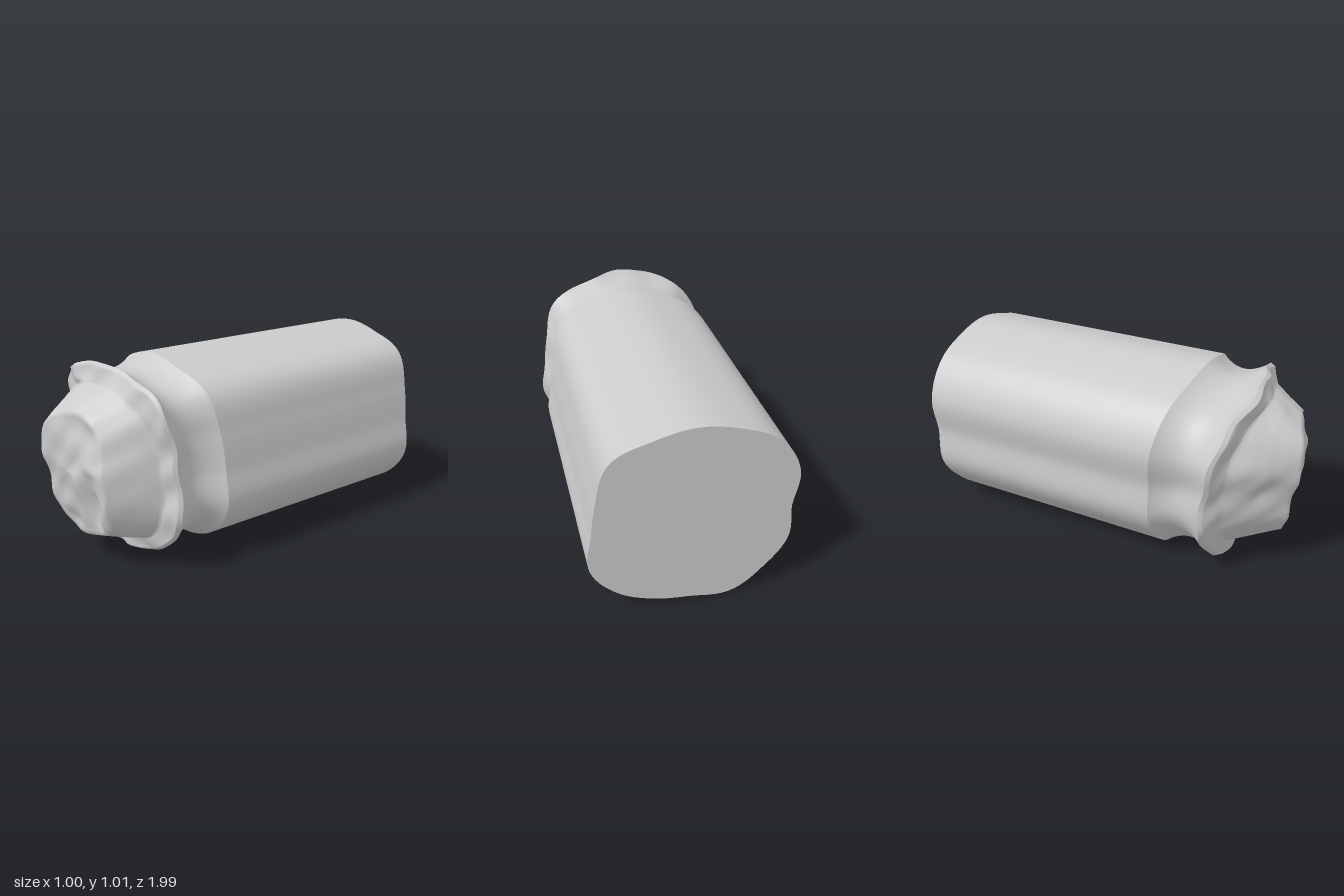
import * as THREE from 'three';

const N = 144; // points round every loop
const CY = 0.5; // height of the long axis

// smooth periodic sampling of 16 values spaced evenly round the axis
function around(values, angle) {
  const n = values.length, f = (angle / (2 * Math.PI)) * n, i = Math.floor(f), t = f - i;
  const [a, b, c, d] = [-1, 0, 1, 2].map(k => values[(i + k + n) % n]);
  return b + 0.5 * t * (c - a + t * (2 * a - 5 * b + 4 * c - d + t * (3 * (b - c) + d - a)));
}

// all lists start at +x and run counterclockwise as seen from the front
const OUTLINE = [.475, .487, .545, .512, .512, .515, .545, .535, .475, .515, .515, .53, .48, .49, .52, .53];
const RIM_Z = [.59, .60, .64, .67, .72, .74, .69, .64, .60, .59, .60, .62, .63, .62, .60, .59];
const BASE_R = [.39, .40, .43, .42, .41, .41, .43, .43, .40, .41, .42, .43, .41, .41, .44, .42];
const BASE_Z = [.64, .65, .69, .74, .76, .76, .73, .69, .68, .67, .66, .66, .66, .66, .65, .64];
const MID_R = [.33, .34, .37, .37, .37, .36, .34, .32, .30, .31, .34, .38, .39, .39, .41, .36];
const MID_Z = [.78, .77, .78, .81, .83, .85, .86, .85, .83, .80, .78, .76, .76, .74, .74, .77];
const TOP_R = [.285, .28, .31, .32, .30, .27, .22, .18, .16, .18, .22, .30, .35, .35, .36, .31];
const TOP_Z = [.90, .89, .88, .90, .93, .97, .99, .985, .97, .96, .95, .92, .88, .85, .86, .89];

const edgeZ = a => 0.32 + 0.1 * Math.max(0, Math.sin(a)) ** 2;

// skin a stack of loops; ring(v, angle) returns [radius, z] for v from 0 to 1
function loft(name, rows, ring, material, shape) {
  const pos = [], index = [];
  for (let i = 0; i <= rows; i++) {
    for (let j = 0; j < N; j++) {
      const a = (j / N) * 2 * Math.PI;
      const [r, z] = ring(i / rows, a);
      const x = r * Math.cos(a), y = CY + r * Math.sin(a);
      pos.push(x, y, shape ? shape(x, y, z, i / rows) : z);
      if (i < rows) {
        const p = i * N + j, q = i * N + (j + 1) % N;
        index.push(p, q, p + N, q, q + N, p + N);
      }
    }
  }
  const g = new THREE.BufferGeometry();
  g.setAttribute('position', new THREE.Float32BufferAttribute(pos, 3));
  g.setIndex(index);
  g.computeVertexNormals();
  const mesh = new THREE.Mesh(g, material);
  mesh.name = name;
  return mesh;
}

// dents and ridges on the broken face: x, y, width, height, depth
const BUMPS = [
  [.17, .36, .05, .11, -.045], [.07, .36, .035, .10, .02], [.20, .55, .06, .04, .02],
  [.22, .30, .03, .06, .025], [-.05, .22, .07, .05, -.02], [-.27, .50, .06, .08, -.03],
  [-.33, .66, .08, .07, .02], [.13, .72, .05, .06, -.02], [-.12, .90, .12, .03, .015],
  [-.25, .30, .08, .06, .015], [.02, .62, .10, .12, .015],
];
function roughen(x, y, z, v) {
  const fade = Math.min(1, v * 5);
  let h = 0.006 * Math.sin(17 * x + 9 * y) * Math.cos(21 * y - 6 * x) + 0.003 * Math.sin(43 * x - 31 * y);
  for (const [bx, by, w, t, d] of BUMPS) {
    h += d * Math.exp(-(((x - bx) / w) ** 2) - ((y - by) / t) ** 2);
  }
  return Math.min(1, z + h * fade);
}

export function createModel() {
  const group = new THREE.Group();
  group.name = 'brokenColumn';
  const mat = new THREE.MeshStandardMaterial({ color: 0xcccccc, side: THREE.DoubleSide });
  const lerp = THREE.MathUtils.lerp;

  // flat rear end
  group.add(loft('rearCap', 1, (v, a) => [v * around(OUTLINE, a), -1], mat));

  // straight shaft with a slanting front edge
  group.add(loft('shaft', 4, (v, a) => [around(OUTLINE, a), lerp(-1, edgeZ(a), v)], mat));

  // hollow neck flaring out to the wavy rim
  const rimZ = a => around(RIM_Z, a) + 0.006 * Math.sin(13 * a);
  group.add(loft('neck', 14, (v, a) => [
    around(OUTLINE, a) - 0.06 * Math.sin(Math.PI * v) ** 0.85,
    lerp(edgeZ(a), rimZ(a), v),
  ], mat));

  // broken face: rim, lip, foot of the wall, wall, plateau edge, middle
  const stations = [
    a => [around(OUTLINE, a), rimZ(a)],
    a => [around(OUTLINE, a) * 0.975, rimZ(a) + 0.022],
    a => [around(BASE_R, a), around(BASE_Z, a)],
    a => [around(MID_R, a), around(MID_Z, a)],
    a => [around(TOP_R, a), around(TOP_Z, a)],
    a => [around(TOP_R, a) * 0.5, lerp(around(TOP_Z, a), 0.935, 0.5)],
    () => [0.001, 0.935],
  ];
  group.add(loft('brokenFace', 48, (v, a) => {
    const f = v * (stations.length - 1), i = Math.min(stations.length - 2, Math.floor(f));
    const p = stations[i](a), q = stations[i + 1](a);
    return [lerp(p[0], q[0], f - i), lerp(p[1], q[1], f - i)];
  }, mat, roughen));

  return group;
}
